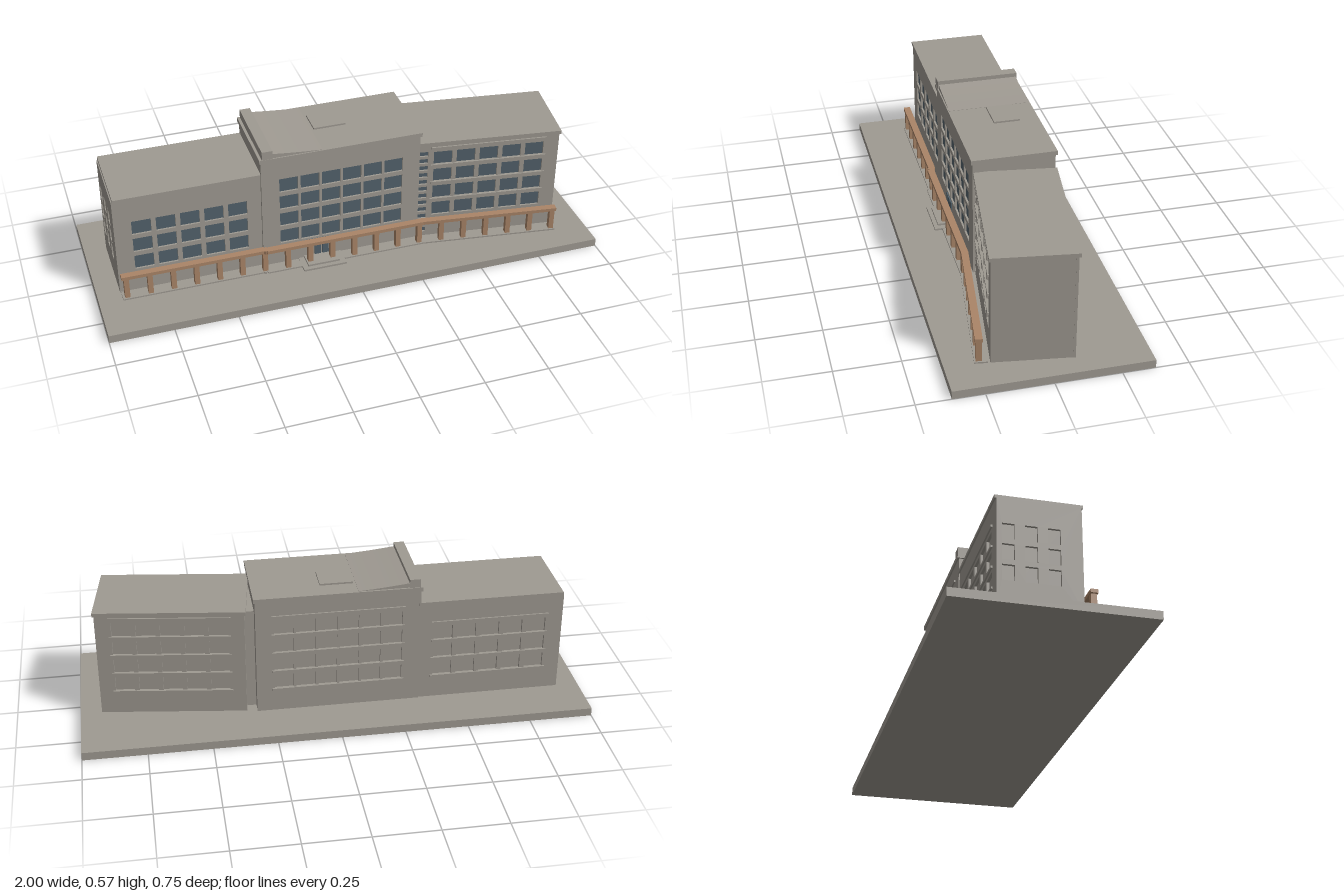
import * as THREE from 'three';

const GROUND = 0.033, SKIN = 0.01;

function material(name, color) {
  const m = new THREE.MeshStandardMaterial({ color });
  m.name = name;
  return m;
}

export function createModel() {
  const root = new THREE.Group();
  root.name = 'officeBuilding';
  const concrete = material('concrete', 0x9f9a92);
  const brown = material('brownStone', 0xaa8568);
  const glass = material('glass', 0x53626c);

  // Box given by its centre x/z and its bottom height
  function box(parent, name, mat, w, h, d, x, y, z) {
    const mesh = new THREE.Mesh(new THREE.BoxGeometry(w, h, d), mat);
    mesh.name = name;
    mesh.position.set(x, y + h / 2, z);
    parent.add(mesh);
    return mesh;
  }

  // Regular window openings as [u, y, width, height]
  function windowGrid(cols, rows, span, width) {
    const list = [];
    const pitch = cols > 1 ? (span - width) / (cols - 1) : 0;
    for (let r = 0; r < rows; r++)
      for (let c = 0; c < cols; c++)
        list.push([-span / 2 + c * pitch, 0.132 + r * 0.08, width, 0.061]);
    return list;
  }

  // Wall skin with real openings; its outer face lies at distance `out`
  function facade(parent, name, w, top, openings, out, angle, glazed) {
    const group = new THREE.Group();
    group.name = name;
    group.rotation.y = angle;
    const shape = new THREE.Shape();
    shape.moveTo(-w / 2, GROUND).lineTo(w / 2, GROUND).lineTo(w / 2, top).lineTo(-w / 2, top).closePath();
    for (const [u, y, ww, hh] of openings) {
      const hole = new THREE.Path();
      hole.moveTo(u, y).lineTo(u, y + hh).lineTo(u + ww, y + hh).lineTo(u + ww, y).closePath();
      shape.holes.push(hole);
      if (glazed) box(group, 'windowPane', glass, ww, hh, 0.002, u + ww / 2, y, out - SKIN + 0.0015);
    }
    const wall = new THREE.Mesh(new THREE.ExtrudeGeometry(shape, { depth: SKIN, bevelEnabled: false }), concrete);
    wall.name = name + 'Wall';
    wall.position.z = out - SKIN;
    group.add(wall);
    parent.add(group);
    return group;
  }

  // Horizontal ledges between the window rows
  function ledges(group, rows, span, out, first = 0) {
    for (let i = first; i <= rows; i++)
      box(group, 'windowLedge', concrete, span, 0.009, 0.012, 0, 0.124 + i * 0.0808, out);
  }

  // One block of the building: core, front and back skins, roof slab
  function block(name, x, z, angle, w, d, roofY, roofTop, cols, rows, span, extra = []) {
    const group = new THREE.Group();
    group.name = name;
    group.position.set(x, 0, z);
    group.rotation.y = angle;
    box(group, 'core', concrete, w - 0.002, roofY - GROUND, d - 2 * SKIN, 0, GROUND, 0);
    const front = windowGrid(cols, rows, span, 0.075);
    facade(group, 'frontFacade', w, roofY, [...front, ...extra], d / 2, 0, true);
    const back = facade(group, 'backFacade', w, roofY, front, d / 2, Math.PI, false);
    ledges(back, rows, span + 0.02, d / 2);
    box(group, 'roofSlab', concrete, w + 0.012, roofTop - roofY, d + 0.012, 0, roofY, 0);
    root.add(group);
    return group;
  }

  box(root, 'groundSlab', concrete, 2, GROUND, 0.745, 0, 0, -0.002);

  // Left wing, with small windows in its end wall
  const left = block('leftWing', -0.617, -0.03, 0, 0.566, 0.308, 0.452, 0.465, 5, 3, 0.45);
  const end = facade(left, 'endFacade', 0.308, 0.452, windowGrid(3, 3, 0.21, 0.045).map(
    ([u, y, w, h]) => [u - 0.03, y, w, h]), 0.283 + SKIN, -Math.PI / 2, false);
  end.name = 'endFacade';

  // Central block
  block('centralBlock', -0.013, -0.027, 0, 0.646, 0.322, 0.518, 0.535, 6, 4, 0.503);

  // Right wing, turned slightly, with a ladder of stair windows
  const stair = [];
  for (let i = 0; i < 12; i++) stair.push([-0.283, 0.052 + i * 0.033, 0.036, 0.021]);
  const TURN = -0.136;
  const right = block('rightWing', 0.6125, 0.0125, TURN, 0.572, 0.306, 0.465, 0.48, 5, 4, 0.448, stair);
  ledges(right, 4, 0.47, 0.153, 1);

  // Recessed link between the centre and the right wing
  box(root, 'link', concrete, 0.06, 0.425, 0.22, 0.325, GROUND, -0.03);

  // Roof fin with a curved slope falling away from it
  box(root, 'roofFin', concrete, 0.042, 0.052, 0.33, -0.31, 0.518, -0.026);
  const slope = new THREE.Shape();
  slope.moveTo(-0.29, 0.534).lineTo(-0.09, 0.534).lineTo(-0.09, 0.536);
  slope.quadraticCurveTo(-0.18, 0.541, -0.29, 0.554);
  slope.closePath();
  const wedge = new THREE.Mesh(new THREE.ExtrudeGeometry(slope, { depth: 0.322, bevelEnabled: false }), concrete);
  wedge.name = 'roofSlope';
  wedge.position.z = -0.187;
  root.add(wedge);
  box(root, 'roofHatch', concrete, 0.13, 0.008, 0.105, -0.015, 0.534, -0.065);

  // Covered walk along the front: straight runs joined end to end
  const path = [[-0.905, 0.162], [-0.34, 0.162], [-0.33, 0.169], [0.32, 0.169], [0.868, 0.243]];
  for (let i = 0; i < path.length - 1; i++) {
    const [x0, z0] = path[i], [x1, z1] = path[i + 1];
    const len = Math.hypot(x1 - x0, z1 - z0);
    const run = new THREE.Group();
    run.name = 'coveredWalk';
    run.position.set((x0 + x1) / 2, 0, (z0 + z1) / 2);
    run.rotation.y = -Math.atan2(z1 - z0, x1 - x0);
    box(run, 'walkBeam', brown, len + 0.003, 0.014, 0.028, 0, 0.125, 0);
    box(run, 'walkPlinth', concrete, len + 0.004, 0.006, 0.05, 0, GROUND, -0.008);
    root.add(run);
  }
  const pathZ = x => x < -0.335 ? 0.162 : x < 0.32 ? 0.169 : 0.169 + (x - 0.32) * 0.135;
  for (let i = 0; i < 20; i++) {
    const x = -0.888 + i * 0.0917;
    const post = box(root, 'walkPost', brown, 0.02, 0.09, 0.022, x, 0.037, pathZ(x));
    if (x > 0.32) post.rotation.y = TURN;
  }

  // Entrance: steps and glazed doors
  box(root, 'lowerStep', concrete, 0.175, 0.008, 0.09, -0.105, GROUND, 0.172);
  box(root, 'upperStep', concrete, 0.13, 0.016, 0.07, -0.105, GROUND, 0.165);
  for (let i = 0; i < 3; i++)
    box(root, 'entranceDoor', glass, 0.026, 0.075, 0.006, -0.145 + i * 0.032, 0.049, 0.136);

  return root;
}
